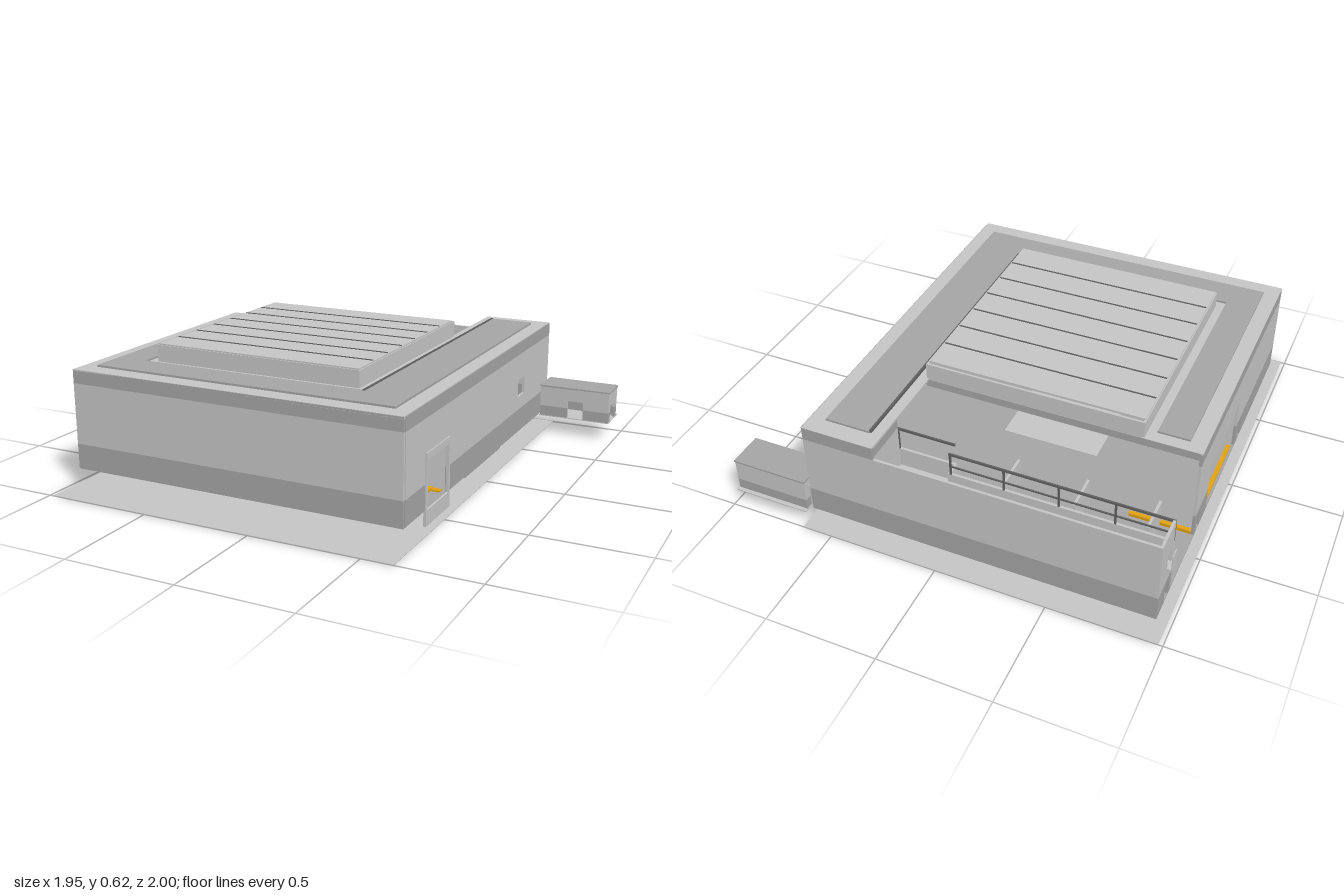
import * as THREE from 'three';
import { mergeGeometries } from 'three/addons/utils/BufferGeometryUtils.js';

const material = (name, color) => Object.assign(new THREE.MeshStandardMaterial({ color }), { name });

export function createModel() {
  const model = new THREE.Group();
  model.name = 'warehouse';
  const light = material('light concrete', 0xc4c4c4);
  const dark = material('grey concrete', 0xa4a4a4);
  const steel = material('dark steel', 0x606060);
  const yellow = material('safety yellow', 0xe0a010);

  // Box given by its extents
  const boxGeo = (x0, x1, y0, y1, z0, z1) =>
    new THREE.BoxGeometry(x1 - x0, y1 - y0, z1 - z0)
      .translate((x0 + x1) / 2, (y0 + y1) / 2, (z0 + z1) / 2);
  const add = (name, mat, ...boxes) => {
    const mesh = new THREE.Mesh(mergeGeometries(boxes.map(b => boxGeo(...b))), mat);
    mesh.name = name;
    model.add(mesh);
  };

  // Wall along 'x' or 'z', split into painted bands, with rectangular openings [u0, u1, y0, y1]
  const T = 0.012;
  function wall(name, axis, u0, u1, at, bands, holes = []) {
    const cuts = [...new Set([u0, u1, ...holes.flatMap(h => [h[0], h[1]])])].sort((a, b) => a - b);
    for (const [y0, y1, mat] of bands) {
      const rows = [...new Set([y0, y1, ...holes.flatMap(h => [h[2], h[3]])])]
        .filter(y => y >= y0 && y <= y1).sort((a, b) => a - b);
      const cells = [];
      for (let i = 0; i + 1 < cuts.length; i++) {
        for (let j = 0; j + 1 < rows.length; j++) {
          const u = (cuts[i] + cuts[i + 1]) / 2, y = (rows[j] + rows[j + 1]) / 2;
          if (holes.some(h => u > h[0] && u < h[1] && y > h[2] && y < h[3])) continue;
          cells.push(axis === 'x'
            ? [cuts[i], cuts[i + 1], rows[j], rows[j + 1], at, at + T]
            : [at, at + T, rows[j], rows[j + 1], cuts[i], cuts[i + 1]]);
        }
      }
      if (cells.length) add(name, mat, ...cells);
    }
  }

  // Ground and raised floor
  add('ground', light, [-0.98, 0.64, 0, 0.003, -1, 1]);
  add('floor', dark, [-0.95, 0.61, 0.083, 0.09, -0.95, 0.85]);
  add('floorPatch', light, [-0.4, 0.06, 0.09, 0.094, -0.16, 0.17]);
  add('dockPads', dark, [-0.79, 0.6, 0.066, 0.083, -0.28, 0.17]);

  // Outer walls: the rear yard is open on the right
  const low = [0.09, 0.2, dark], mid = [0.2, 0.475, light], top = [0.475, 0.535, dark];
  const full = [low, mid, top];
  wall('frontWall', 'x', -0.95, 0.61, 0.843, full);
  wall('leftWall', 'z', -0.945, 0.843, 0.602, full,
    [[0.41, 0.64, 0.09, 0.325], [-0.57, -0.475, 0.265, 0.35]]);
  wall('rightWall', 'z', -0.46, 0.843, -0.95, full,
    [[-0.28, 0.17, 0.09, 0.33], [-0.43, -0.39, 0.09, 0.17], [0.22, 0.26, 0.09, 0.19]]);
  wall('rearWall', 'x', -0.95, 0.28, -0.95, [low, mid]);
  wall('rearWallTall', 'x', 0.28, 0.61, -0.95, full);
  wall('rearReturnWall', 'z', -0.94, -0.79, -0.95, [low, mid],
    [[-0.86, -0.81, 0.09, 0.18], [-0.86, -0.81, 0.275, 0.35]]);
  add('sideBalcony', light, [-0.97, -0.95, 0.27, 0.278, -0.86, -0.81],
    [-0.97, -0.966, 0.278, 0.35, -0.86, -0.81]);

  // Rear gallery with its partition and railing
  add('gallery', light, [-0.94, 0.02, 0.262, 0.27, -0.94, -0.79], [0.02, 0.29, 0.262, 0.27, -0.94, -0.73]);
  add('galleryCarpet', dark, [-0.94, 0.26, 0.27, 0.274, -0.938, -0.88]);
  wall('galleryWall', 'x', -0.95, 0.02, -0.79, [low, [0.2, 0.36, light]]);
  wall('galleryWallStep', 'x', 0.02, 0.29, -0.73, [low, [0.2, 0.36, light]]);
  wall('galleryWallLink', 'z', -0.79, -0.73, 0.015, [low, [0.2, 0.36, light]]);
  add('galleryRailing', steel,
    [-0.95, 0.02, 0.462, 0.472, -0.79, -0.782], [-0.95, 0.02, 0.40, 0.406, -0.79, -0.784],
    [0.02, 0.29, 0.462, 0.472, -0.73, -0.722],
    ...[-0.95, -0.71, -0.47, -0.23, 0.01].map(x => [x, x + 0.008, 0.36, 0.472, -0.79, -0.782]),
    [0.282, 0.29, 0.36, 0.472, -0.73, -0.722]);

  // Yard bays
  add('yardBays', light,
    ...[-0.8, -0.475, -0.15].map(x => [x, x + T, 0.09, 0.22, -0.62, -0.45]),
    [0.13, 0.29, 0.09, 0.22, -0.645, -0.635]);
  add('yardBeam', dark, [-0.95, 0.29, 0.5, 0.535, -0.455, -0.445]);
  wall('yardSideWall', 'z', -0.94, -0.73, 0.285, full);

  // Floor safety markings
  add('safetyStripes', yellow,
    [-0.94, -0.66, 0.09, 0.105, -0.46, -0.44], [-0.94, -0.92, 0.09, 0.098, -0.26, 0.15],
    [-0.75, -0.5, 0.09, 0.1, 0.4, 0.42], [0.52, 0.55, 0.09, 0.1, 0.41, 0.64],
    [0.4, 0.59, 0.09, 0.096, 0.41, 0.44]);

  // Roof slab around the lantern, with raised strips
  add('roof', light,
    [-0.95, 0.61, 0.526, 0.537, 0.58, 0.855], [-0.95, -0.69, 0.526, 0.537, -0.455, 0.58],
    [0.28, 0.61, 0.526, 0.537, -0.95, 0.58]);
  add('roofStrips', dark,
    [-0.88, 0.54, 0.537, 0.546, 0.62, 0.775], [-0.88, -0.74, 0.537, 0.546, -0.4, 0.62],
    [0.335, 0.54, 0.537, 0.546, -0.87, 0.62]);
  add('roofCurb', steel, [0.327, 0.337, 0.537, 0.55, -0.865, 0.63]);

  // Roof lantern with seamed cover
  add('lanternSides', light,
    [-0.7, 0.29, 0.535, 0.612, 0.57, 0.58], [-0.7, 0.29, 0.535, 0.612, -0.45, -0.44],
    [-0.7, -0.69, 0.535, 0.612, -0.44, 0.57], [0.28, 0.29, 0.535, 0.612, -0.44, 0.57]);
  add('lanternCover', light, [-0.695, 0.285, 0.608, 0.618, -0.43, 0.575]);
  const seams = [];
  for (let i = 1; i < 7; i++) {
    const z = -0.43 + i * 1.005 / 7;
    seams.push([-0.69, 0.28, 0.618, 0.621, z - 0.003, z + 0.003]);
  }
  add('coverSeams', steel, ...seams);

  // Loading door frame and dock on the left wall
  add('doorFrame', light,
    [0.608, 0.62, 0.02, 0.33, 0.4, 0.415], [0.608, 0.62, 0.02, 0.33, 0.635, 0.65],
    [0.608, 0.62, 0.3, 0.33, 0.415, 0.635], [0.608, 0.62, 0.02, 0.088, 0.415, 0.635]);
  add('dockLeveller', steel, [0.55, 0.606, 0.058, 0.083, 0.44, 0.6]);

  // Small annexe at the rear corner
  const hutBands = [[0.09, 0.14, dark], [0.14, 0.24, light]];
  wall('annexeFront', 'x', 0.625, 0.972, -0.822, hutBands, [[0.765, 0.845, 0.09, 0.178]]);
  wall('annexeBack', 'x', 0.625, 0.972, -0.972, hutBands);
  wall('annexeEnd', 'z', -0.96, -0.822, 0.96, hutBands, [[-0.935, -0.85, 0.09, 0.172]]);
  wall('annexeInnerEnd', 'z', -0.96, -0.822, 0.625, hutBands);
  add('annexeRoof', dark, [0.622, 0.975, 0.238, 0.246, -0.975, -0.81]);
  add('annexeFloor', light, [0.622, 0.975, 0.086, 0.091, -0.99, -0.81]);
  add('annexeLink', light, [0.61, 0.626, 0.09, 0.2, -0.94, -0.86]);

  return model;
}
